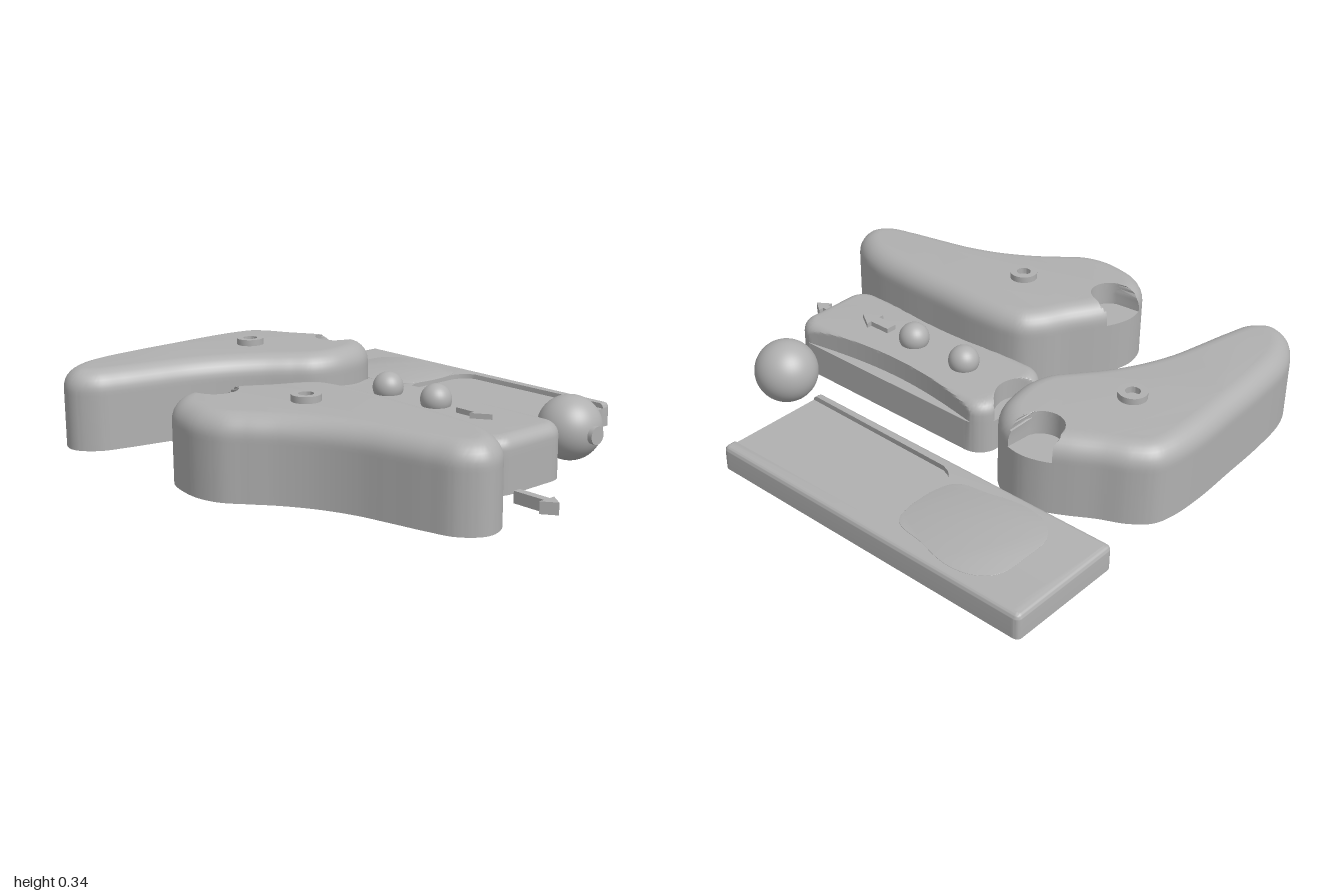
import * as THREE from 'three';
import { toCreasedNormals } from 'three/addons/utils/BufferGeometryUtils.js';

const V = (x, z) => new THREE.Vector2(x, z);
const same = p => p;

// Closed smooth outline in (x, z) through a few points
function smoothOutline(pts, n) {
  const curve = new THREE.CatmullRomCurve3(pts.map(([x, z]) => new THREE.Vector3(x, 0, z)), true);
  return curve.getSpacedPoints(n).slice(0, n).map(p => V(p.x, p.z));
}

// Rectangle with rounded corners in (x, z)
function rectOutline(x0, x1, z0, z1, r, n) {
  const s = new THREE.Shape();
  s.moveTo(x0 + r, z0);
  s.lineTo(x1 - r, z0);
  s.absarc(x1 - r, z0 + r, r, -Math.PI / 2, 0);
  s.absarc(x1 - r, z1 - r, r, 0, Math.PI / 2);
  s.absarc(x0 + r, z1 - r, r, Math.PI / 2, Math.PI);
  s.absarc(x0 + r, z0 + r, r, Math.PI, Math.PI * 1.5);
  return s.getSpacedPoints(n).slice(0, n);
}

// Flat-bottomed slab with rounded top rim; above the ledge, cut() carves its sides
function slab(outline, height, bevel, ledge = 0, cut = same, base = 0) {
  const pts = THREE.ShapeUtils.isClockWise(outline) ? outline.slice().reverse() : outline;
  const n = pts.length;
  const out = pts.map((p, i) => {
    const t = pts[(i + 1) % n].clone().sub(pts[(i + n - 1) % n]).normalize();
    return V(t.y, -t.x);
  });
  const rings = [[0, 0, same]];
  if (ledge) rings.push([ledge, 0, same], [ledge, 0, cut]);
  for (let k = 0; k <= 8; k++) {
    const a = k / 8 * Math.PI / 2;
    rings.push([height - bevel + bevel * Math.sin(a), bevel * (1 - Math.cos(a)), cut]);
  }
  const pos = [], idx = [];
  let top;
  rings.forEach(([y, d, f], r) => {
    top = pts.map((p, i) => f(p.clone().addScaledVector(out[i], -d)));
    top.forEach(p => pos.push(p.x, y + base, p.y));
    if (r === 0) return;
    for (let i = 0; i < n; i++) {
      const a = (r - 1) * n + i, b = (r - 1) * n + (i + 1) % n;
      idx.push(a, a + n, b, b, a + n, b + n);
    }
  });
  const last = (rings.length - 1) * n;
  THREE.ShapeUtils.triangulateShape(pts.slice(), []).forEach(([a, b, c]) => idx.push(a, b, c));
  THREE.ShapeUtils.triangulateShape(top, []).forEach(([a, b, c]) => idx.push(last + a, last + c, last + b));
  const g = new THREE.BufferGeometry();
  g.setAttribute('position', new THREE.Float32BufferAttribute(pos, 3));
  g.setIndex(idx);
  return toCreasedNormals(g, 0.6);
}

// Round pocket opening at the rim; n points into the body
const bite = (c, n, R) => p => {
  const q = p.clone().sub(c), t = q.x * -n.y + q.y * n.x, d = q.dot(n);
  if (Math.abs(t) >= R) return p;
  const e = Math.sqrt(R * R - t * t);
  return d < e ? p.clone().addScaledVector(n, e - d) : p;
};

function arrow(length, headLength, headWidth, shaftWidth, depth) {
  const s = new THREE.Shape(), x = length - headLength, w = shaftWidth / 2, h = headWidth / 2;
  s.setFromPoints([V(0, -w), V(x, -w), V(x, -h), V(length, 0), V(x, h), V(x, w), V(0, w)]);
  return new THREE.ExtrudeGeometry(s, { depth, bevelEnabled: false }).rotateX(-Math.PI / 2);
}

export function createModel() {
  const model = new THREE.Group();
  const grey = new THREE.MeshStandardMaterial({ color: 0xb0b0b0 });
  grey.name = 'grey';
  const add = (name, geometry, x = 0, y = 0, z = 0) => {
    const m = new THREE.Mesh(geometry, grey);
    m.name = name;
    m.position.set(x, y, z);
    model.add(m);
    return m;
  };

  // Two mirrored lobed bodies with a pocket and a raised ring
  const lobe = [
    [-0.99, -0.05], [-0.965, -0.13], [-0.9, -0.19], [-0.8, -0.24], [-0.7, -0.3], [-0.61, -0.343],
    [-0.53, -0.355], [-0.43, -0.325], [-0.36, -0.25], [-0.33, -0.15], [-0.325, -0.06], [-0.35, 0.03],
    [-0.41, 0.11], [-0.48, 0.2], [-0.55, 0.32], [-0.6, 0.45], [-0.63, 0.58], [-0.66, 0.72],
    [-0.69, 0.82], [-0.75, 0.88], [-0.8, 0.89], [-0.87, 0.86], [-0.93, 0.78], [-0.965, 0.68],
    [-0.985, 0.5], [-0.993, 0.3], [-1, 0.1]];
  const mirror = ([x, z]) => [z + 0.09, x + 1.215];
  const ring = [[0.028, 0], [0.055, 0], [0.055, 0.025], [0.028, 0.025], [0.028, 0]].map(p => V(...p));
  [['right', p => p, V(0, 1)], ['front', mirror, V(1, 0)]].forEach(([side, map, inward]) => {
    const pocket = bite(V(...map([-0.57, -0.27])), inward, 0.083);
    add(side + 'LobedBody', slab(smoothOutline(lobe.map(map), 320), 0.31, 0.08, 0.215, pocket));
    const [x, z] = map([-0.7, 0.08]);
    add(side + 'RaisedRing', toCreasedNormals(new THREE.LatheGeometry(ring, 32), 0.6), x, 0.31, z);
  });

  // Central block with hollowed long sides and a scooped end
  const hollow = p => {
    const s = 0.052 * Math.sin(Math.PI * THREE.MathUtils.clamp((p.x + 0.22) / 0.9, 0, 1));
    const scoop = 0.068 * Math.max(0, 1 - ((p.y + 0.04) / 0.12) ** 2);
    return V(Math.max(p.x, -0.26 + scoop), THREE.MathUtils.clamp(p.y, -0.23 + s, 0.15 - s));
  };
  add('centralBlock', slab(rectOutline(-0.26, 0.74, -0.23, 0.15, 0.085, 300), 0.21, 0.05, 0.13, hollow));
  [0, 0.26].forEach((x, i) => add('bead' + (i + 1), new THREE.SphereGeometry(0.06, 32, 20), x, 0.233, -0.04));
  add('blockArrow', arrow(0.16, 0.07, 0.09, 0.045, 0.025), 0.385, 0.205, -0.04);
  add('floorArrow', arrow(0.19, 0.055, 0.075, 0.03, 0.045), 0.81, 0, 0.12);

  // Base plate with a shallow channel open at one end
  const channel = p => {
    const t = Math.abs(p.y + 0.655);
    if (p.x < 0 || t > 0.197) return p;
    const k = Math.max(0, t - 0.097);
    return V(-0.26 - Math.sqrt(Math.max(0, 0.01 - k * k)), p.y);
  };
  add('basePlate', slab(rectOutline(-1, 0.405, -0.9, -0.415, 0.02, 400), 0.097, 0.02, 0.077, channel));
  const patch = [[-0.83, -0.655], [-0.82, -0.78], [-0.76, -0.84], [-0.66, -0.86], [-0.52, -0.83],
    [-0.38, -0.79], [-0.38, -0.52], [-0.52, -0.475], [-0.66, -0.45], [-0.76, -0.475], [-0.82, -0.54]];
  add('platePatch', slab(smoothOutline(patch, 120), 0.002, 0.0005, 0, same, 0.0965));

  // Loose ball with a small raised stud
  add('ball', new THREE.SphereGeometry(0.125, 48, 32), 0.59, 0.12, -0.42);
  add('ballStud', new THREE.CylinderGeometry(0.035, 0.035, 0.05, 24).rotateZ(Math.PI / 2), 0.703, 0.115, -0.415);
  return model;
}
